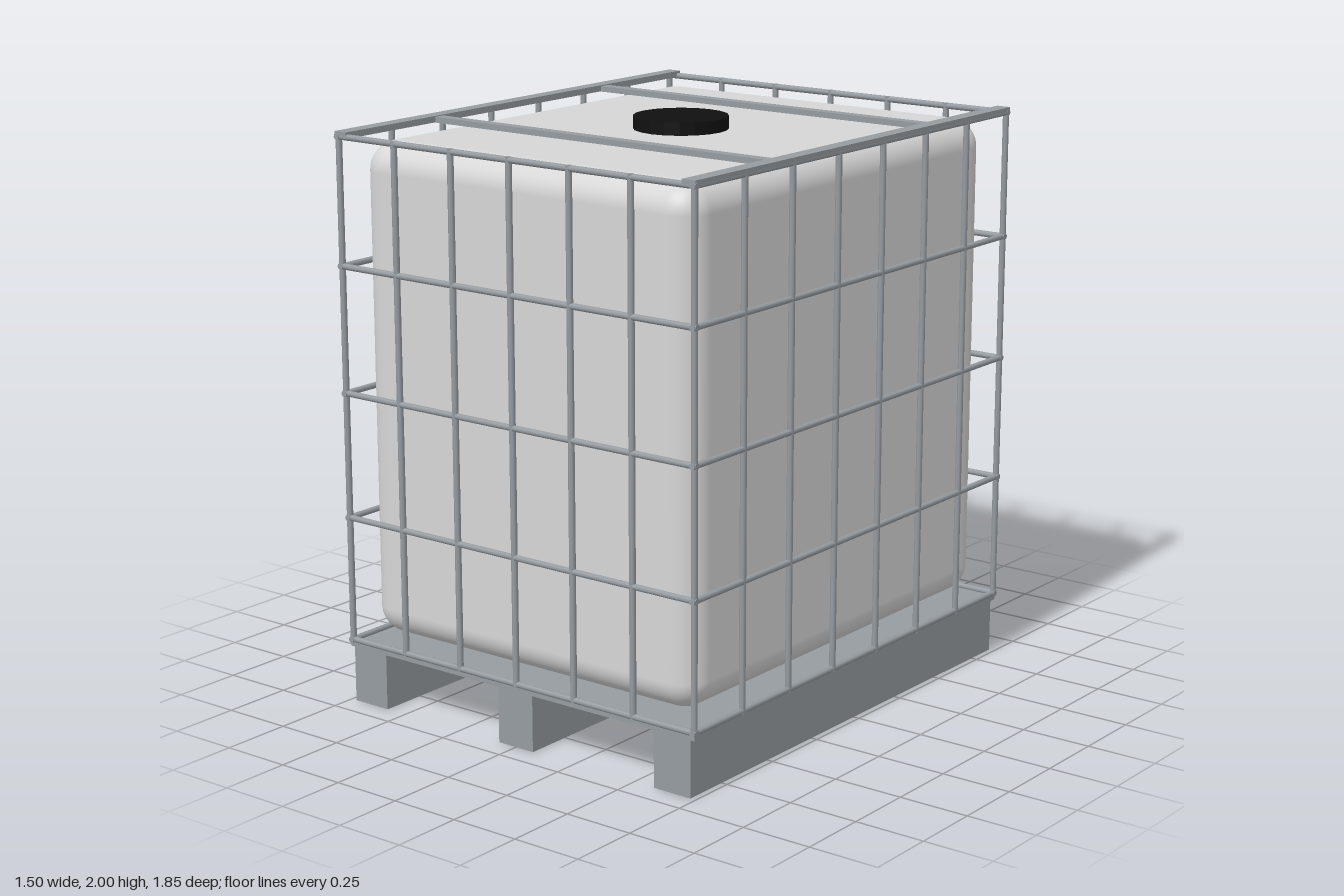
import * as THREE from 'three';
import { RoundedBoxGeometry } from 'three/addons/geometries/RoundedBoxGeometry.js';

const mat = (name, color, flatShading = false) => {
  const m = new THREE.MeshStandardMaterial({ color, flatShading });
  m.name = name;
  return m;
};

export function createModel() {
  const model = new THREE.Group();
  model.name = 'caged liquid tank';
  const metal = mat('galvanised grey', 0x969ca1);
  const plastic = mat('tank white', 0xd6d6d6);
  const plate = mat('plate grey', 0xcccccc);
  const black = mat('lid black', 0x101010, true);
  const red = mat('valve red', 0xb02008, true);

  const add = (name, geometry, material, x, y, z, parent = model) => {
    const mesh = new THREE.Mesh(geometry, material);
    mesh.name = name;
    mesh.position.set(x, y, z);
    parent.add(mesh);
    return mesh;
  };
  const box = (name, w, h, d, x, y, z, material = metal) =>
    add(name, new THREE.BoxGeometry(w, h, d), material, x, y, z);

  // Pallet: three full-length runners under a thin deck
  const midZ = 0.023;
  for (const x of [-0.655, 0, 0.655]) box('palletRunner', 0.147, 0.2, 1.785, x, 0.1, midZ);
  box('palletDeck', 1.49, 0.018, 1.785, 0, 0.205, midZ);

  // Tank and its screw lid
  add('tank', new RoundedBoxGeometry(1.39, 1.712, 1.69, 6, 0.1), plastic, 0, 1.1, 0.025);
  add('lid', new THREE.CylinderGeometry(0.163, 0.163, 0.05, 20), black, 0, 1.975, 0.019);

  // Cage of round bars
  const cage = new THREE.Group();
  cage.name = 'cage';
  model.add(cage);
  const r = 0.011, X = 0.739, front = 0.909, back = -0.867, low = 0.22, high = 1.97;
  const bar = (name, length, x, y, z, axis) => {
    const g = new THREE.CylinderGeometry(r, r, length, 8);
    if (axis === 'x') g.rotateZ(Math.PI / 2);
    if (axis === 'z') g.rotateX(Math.PI / 2);
    add(name, g, metal, x, y, z, cage);
  };
  // Uprights on the front and back
  for (let i = 0; i <= 6; i++) {
    const x = -X + (2 * X * i) / 6;
    for (const z of [front, back]) bar('upright', high - low + 0.02, x, (low + high) / 2, z, 'y');
  }
  // Uprights on the two sides, between the corners
  for (let i = 1; i < 7; i++) {
    const z = back + ((front - back) * i) / 7;
    for (const x of [-X, X]) bar('sideUpright', high - low + 0.02, x, (low + high) / 2, z, 'y');
  }
  // Five horizontal hoops
  for (let i = 0; i < 5; i++) {
    const y = low + ((high - low) * i) / 4;
    for (const z of [front, back]) bar('hoopCrossBar', 2 * X + 0.022, 0, y, z, 'x');
    for (const x of [-X, X]) bar('hoopSideBar', front - back + 0.022, x, y, midZ, 'z');
  }

  // Flat top rails and the two braces between them
  for (const x of [-0.723, 0.723]) box('topRail', 0.052, 0.022, 1.796, x, 1.977, 0.021);
  for (const z of [-0.428, 0.463]) box('topBrace', 1.4, 0.02, 0.04, 0, 1.975, z);

  // Blank plate on the back of the cage
  box('backPlate', 0.592, 0.45, 0.009, 0, 1.205, -0.887, plate);

  // Outlet valve
  const valve = add('outletValve', new THREE.CylinderGeometry(0.06, 0.06, 0.13, 8), red, 0, 0.36, -0.862);
  valve.rotation.x = Math.PI / 2;

  return model;
}
